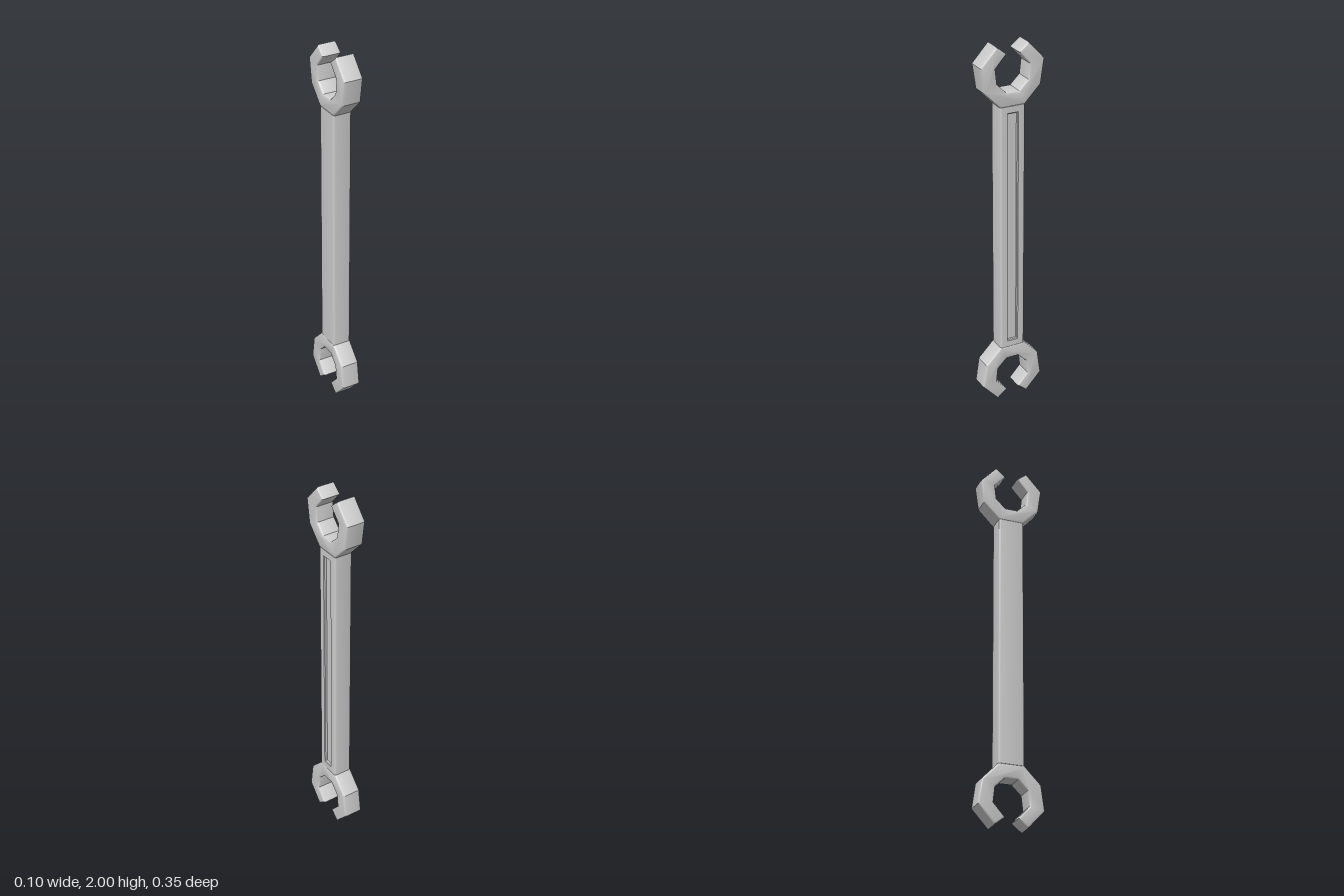
import * as THREE from 'three';
import { toCreasedNormals } from 'three/addons/utils/BufferGeometryUtils.js';

const material = new THREE.MeshStandardMaterial({ color: 0xcccccc });
const HALF = 0.052;   // half thickness of the heads
const BEVEL = 0.01;

// Faceted open jaw, as a mirrored half outline extruded across x
function headGeometry() {
  const half = [
    [0.068, 1.685], [0.155, 1.775], [0.174, 1.905], [0.087, 2.0],   // outside
    [0.034, 1.957], [0.094, 1.89], [0.085, 1.81], [0.034, 1.76],    // slot and mouth
  ];
  const mirrored = half.map(([z, y]) => [-z, y]).reverse();
  const shape = new THREE.Shape([...half, ...mirrored].map(([z, y]) => new THREE.Vector2(z, y)));
  const geometry = new THREE.ExtrudeGeometry(shape, {
    depth: 2 * (HALF - BEVEL), bevelThickness: BEVEL, bevelSize: BEVEL,
    bevelOffset: -BEVEL, bevelSegments: 3,
  });
  geometry.translate(0, 0, -(HALF - BEVEL));
  geometry.rotateY(Math.PI / 2);
  return toCreasedNormals(geometry, 0.6);
}

// Bar built from concentric rectangles running from the back face to the groove floor
function shaftGeometry() {
  const X = 0.05, Z = 0.069, Y = 0.687, B = 0.01;
  const rings = [[-X, Z - B, Y]];                       // x, half width, half length
  for (let i = 1; i <= 3; i++) {
    const a = (i / 3) * Math.PI / 2;
    rings.push([-X + B * (1 - Math.cos(a)), Z - B + B * Math.sin(a), Y]);
  }
  for (let i = 3; i >= 0; i--) rings.push([-rings[i][0], rings[i][1], Y]);
  rings.push([X, 0.031, 0.652], [X - 0.004, 0.027, 0.648], [X - 0.014, 0.026, 0.647]);

  const corners = rings.map(([x, w, h]) =>
    [[w, -h], [-w, -h], [-w, h], [w, h]].map(([z, y]) => [x, y, z]));
  const positions = [];
  const quad = (a, b, c, d) => positions.push(...a, ...b, ...c, ...a, ...c, ...d);
  for (let r = 0; r < corners.length - 1; r++) {
    for (let i = 0; i < 4; i++) {
      const j = (i + 1) % 4;
      quad(corners[r][i], corners[r][j], corners[r + 1][j], corners[r + 1][i]);
    }
  }
  const back = corners[0], floor = corners[corners.length - 1];
  quad(back[3], back[2], back[1], back[0]);
  quad(floor[0], floor[1], floor[2], floor[3]);

  const geometry = new THREE.BufferGeometry();
  geometry.setAttribute('position', new THREE.Float32BufferAttribute(positions, 3));
  return toCreasedNormals(geometry, 0.6);
}

export function createModel() {
  const model = new THREE.Group();
  model.name = 'doubleEndedWrench';

  const shaft = new THREE.Mesh(shaftGeometry(), material);
  shaft.name = 'groovedShaft';
  shaft.position.y = 1;
  model.add(shaft);

  // The lower jaw is the upper one turned half round
  const jaw = headGeometry();
  for (const name of ['upperJaw', 'lowerJaw']) {
    const head = new THREE.Mesh(jaw, material);
    head.name = name;
    if (name === 'lowerJaw') {
      head.rotation.x = Math.PI;
      head.position.y = 2;
    }
    model.add(head);
  }
  return model;
}
